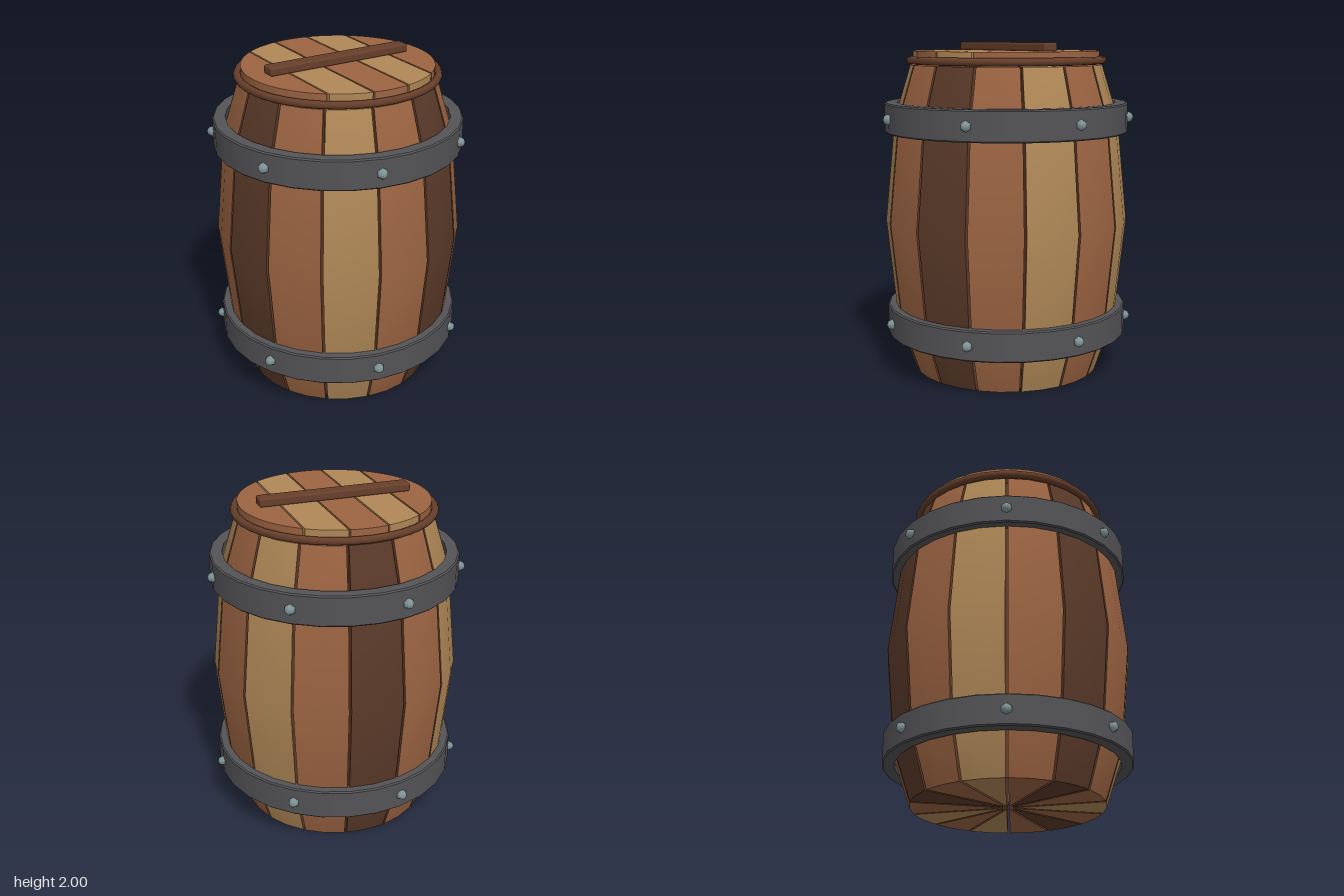
import * as THREE from 'three';
import { mergeGeometries } from 'three/addons/utils/BufferGeometryUtils.js';
import { RoundedBoxGeometry } from 'three/addons/geometries/RoundedBoxGeometry.js';

const STAVES = 14;
const STEP = (Math.PI * 2) / STAVES;
const HALF_GAP = 0.007;
// barrel profile: [radius, height]
const PROFILE = [[0.567, 0], [0.675, 0.32], [0.737, 0.935], [0.675, 1.55], [0.577, 1.868]];

// surface through rows of points; it faces (row direction) x (column direction)
function gridSurface(rows) {
  const cols = rows[0].length, index = [];
  for (let j = 0; j < rows.length - 1; j++) {
    for (let i = 0; i < cols - 1; i++) {
      const a = j * cols + i, b = a + cols;
      index.push(a, b, a + 1, a + 1, b, b + 1);
    }
  }
  const g = new THREE.BufferGeometry();
  g.setAttribute('position', new THREE.Float32BufferAttribute(rows.flat(2), 3));
  g.setIndex(index);
  g.computeVertexNormals();
  return g;
}

// one wedge-shaped stave: painted face with its ends, and dark side walls
function staveGeometries(k) {
  const a0 = k * STEP, mid = a0 + STEP / 2;
  const apexR = HALF_GAP / Math.sin(STEP / 2);
  const apex = y => [apexR * Math.cos(mid), y, apexR * Math.sin(mid)];
  const outer = PROFILE.map(([r, y]) => {
    const d = Math.asin(HALF_GAP / r);
    return [0, 1, 2].map(i => {
      const a = a0 + d + (STEP - 2 * d) * i / 2;
      return [r * Math.cos(a), y, r * Math.sin(a)];
    });
  });
  const last = outer[outer.length - 1];
  const top = PROFILE[PROFILE.length - 1][1];
  const face = mergeGeometries([
    gridSurface(outer),
    gridSurface([outer[0].map(() => apex(0)), outer[0]]),
    gridSurface([last, last.map(() => apex(top))]),
  ]);
  const sides = mergeGeometries([
    gridSurface(outer.map(row => [apex(row[0][1]), row[0]])),
    gridSurface(outer.map(row => [row[2], apex(row[0][1])])),
  ]);
  return { face, sides };
}

// slice of a round lid between x0 and x1
function plankGeometry(x0, x1, radius, depth) {
  const pts = [], n = 12;
  for (let i = 0; i <= n; i++) {
    const t0 = Math.acos(THREE.MathUtils.clamp(x0 / radius, -1, 1));
    const t1 = Math.acos(THREE.MathUtils.clamp(x1 / radius, -1, 1));
    const t = t0 + (t1 - t0) * i / n;
    pts.push(new THREE.Vector2(radius * Math.cos(t), radius * Math.sin(t)));
  }
  const lower = pts.map(p => new THREE.Vector2(p.x, -p.y)).reverse()
    .filter(p => Math.abs(p.y) > 1e-4);
  const g = new THREE.ExtrudeGeometry(new THREE.Shape([...pts, ...lower]), { depth, bevelEnabled: false });
  return g.rotateX(-Math.PI / 2);
}

export function createModel() {
  const material = (name, color) => {
    const m = new THREE.MeshStandardMaterial({ color });
    m.name = name;
    return m;
  };
  const red = material('reddish wood', 0x9c6442);
  const tan = material('tan wood', 0xb08857);
  const dark = material('dark wood', 0x5a3a29);
  const trim = material('trim wood', 0x673f2b);
  const iron = material('iron', 0x545457);
  const steel = material('rivet metal', 0x82979a);

  const model = new THREE.Group();
  model.name = 'barrel';
  const body = new THREE.Group();
  body.name = 'barrelBody';
  body.position.x = -0.015;
  model.add(body);
  const add = (name, geometry, mat, parent = body) => {
    const mesh = new THREE.Mesh(geometry, mat);
    mesh.name = name;
    parent.add(mesh);
    return mesh;
  };

  // staves
  const staveColours = [tan, red, dark, red];
  for (let k = 0; k < STAVES; k++) {
    const stave = new THREE.Group();
    stave.name = 'stave';
    body.add(stave);
    const { face, sides } = staveGeometries(k);
    add('staveFace', face, staveColours[k % 4], stave);
    add('staveSides', sides, trim, stave);
  }

  // open lining that closes the seams
  add('lining', new THREE.CylinderGeometry(0.54, 0.54, 1.85, 28, 1, true), trim).position.y = 0.935;

  // iron hoops with rivets
  const R = 0.735, r = 0.66, h = 0.09, b = 0.008;
  const hoopProfile = [
    [r, -h], [R - b, -h], [R - b, -h], [R, -h + b], [R, -h + b], [R, h - b],
    [R, h - b], [R - b, h], [R - b, h], [r, h], [r, h], [r, -h],
  ].map(([x, y]) => new THREE.Vector2(x, y));
  for (const y of [0.32, 1.555]) {
    const hoop = new THREE.Group();
    hoop.name = 'hoop';
    hoop.position.y = y;
    body.add(hoop);
    add('hoopBand', new THREE.LatheGeometry(hoopProfile, 28), iron, hoop);
    for (let k = 0; k < 7; k++) {
      const a = (k / 7) * Math.PI * 2;
      const g = new THREE.SphereGeometry(0.033, 6, 4).rotateZ(-Math.PI / 2);
      const rivet = add('rivet', g, steel, hoop);
      rivet.position.set(0.737 * Math.cos(a), 0, 0.737 * Math.sin(a));
      rivet.rotation.y = -a;
    }
  }

  // lid of five planks
  const edges = [-0.56, -0.335, -0.112, 0.112, 0.335, 0.56];
  for (let i = 0; i < 5; i++) {
    const x0 = edges[i] + (i > 0 ? 0.005 : 0);
    const x1 = edges[i + 1] - (i < 4 ? 0.005 : 0);
    add('lidPlank', plankGeometry(x0, x1, 0.56, 0.07), i % 2 ? tan : red).position.y = 1.88;
  }

  // rim around the lid
  const rim = new THREE.TorusGeometry(0.58, 0.023, 8, 36).rotateX(Math.PI / 2);
  add('lidRim', rim, trim).position.y = 1.895;

  // handle bar
  add('handle', new RoundedBoxGeometry(0.915, 0.05, 0.092, 2, 0.012), trim).position.y = 1.975;

  return model;
}
